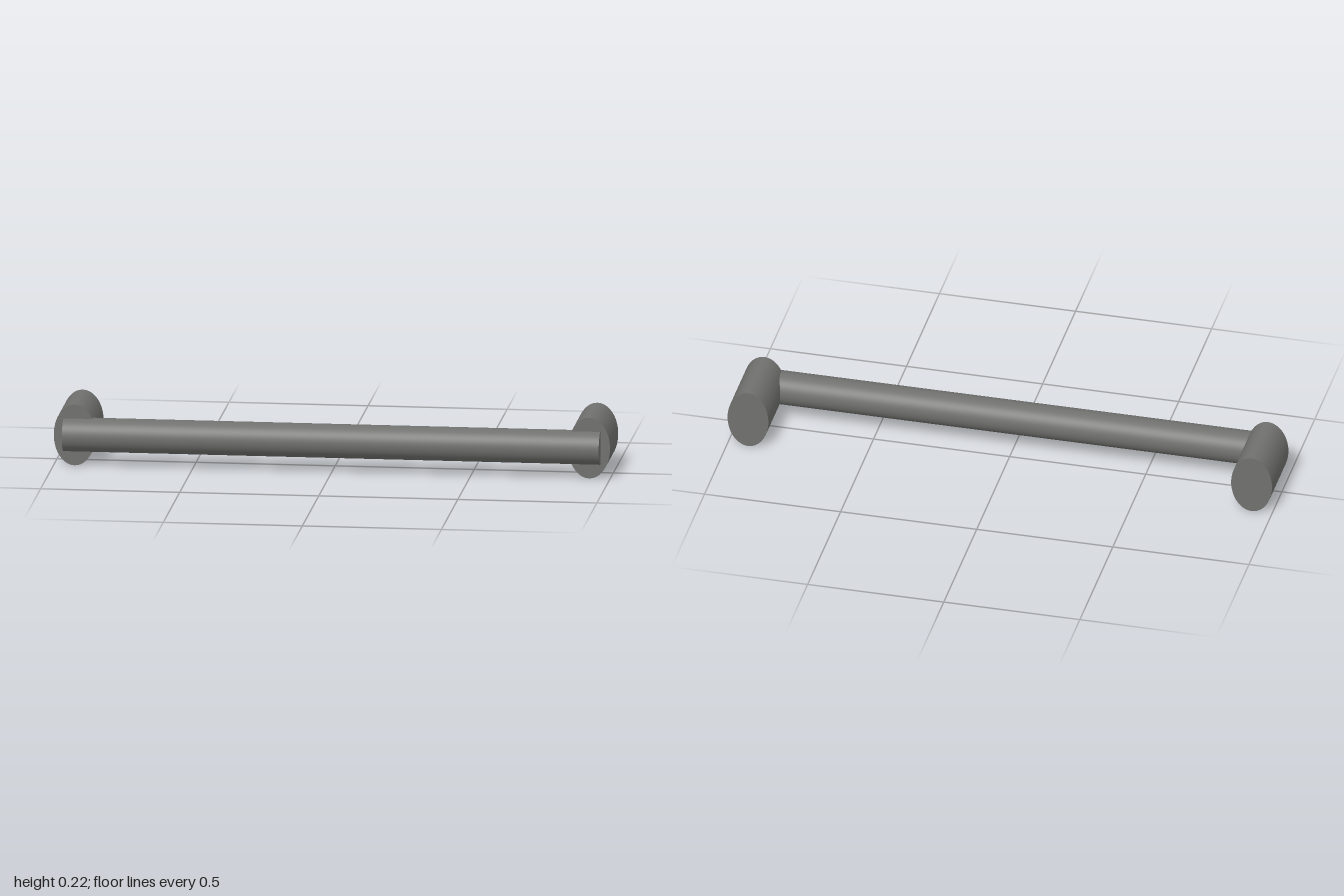
import * as THREE from 'three';

export function createModel() {
  const group = new THREE.Group();
  const darkMetal = new THREE.MeshStandardMaterial({ color: 0x70706e });
  darkMetal.name = 'dark grey metal';

  const midY = 0.111;

  // Round grip bar running across the front
  const barGeometry = new THREE.CylinderGeometry(0.061, 0.061, 1.93, 64).rotateZ(Math.PI / 2);
  const bar = new THREE.Mesh(barGeometry, darkMetal);
  bar.name = 'gripBar';
  bar.position.set(0, midY, 0.089);
  group.add(bar);

  // Oval posts that carry the bar, one at each end
  const postGeometry = new THREE.CylinderGeometry(1, 1, 0.25, 64)
    .rotateX(Math.PI / 2)
    .scale(0.075, midY, 1);
  for (const [side, name] of [[1, 'leftPost'], [-1, 'rightPost']]) {
    const post = new THREE.Mesh(postGeometry, darkMetal);
    post.name = name;
    post.position.set(side * 0.925, midY, -0.025);
    group.add(post);
  }

  return group;
}
